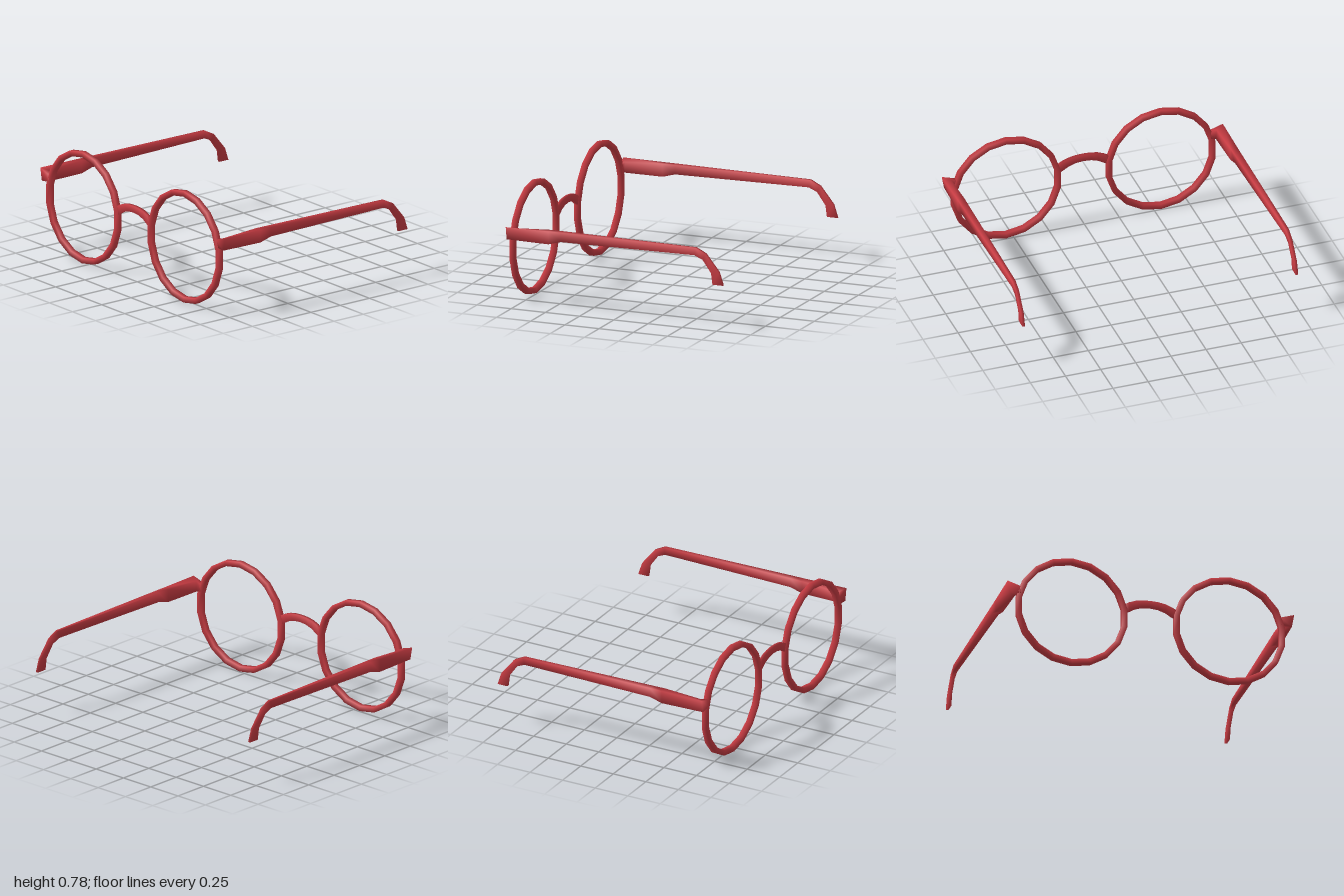
import * as THREE from 'three';

// Skins a row of four-cornered sections with smooth normals; open rows get end caps.
function loft(sections, closed = false) {
  const n = sections.length, index = [];
  for (let i = 0; i < (closed ? n : n - 1); i++) {
    for (let j = 0; j < 4; j++) {
      const k = (j + 1) % 4, next = (i + 1) % n;
      const a = i * 4 + j, b = i * 4 + k, c = next * 4 + k, d = next * 4 + j;
      index.push(a, b, c, a, c, d);
    }
  }
  if (!closed) {
    const e = (n - 1) * 4;
    index.push(0, 3, 2, 0, 2, 1, e, e + 1, e + 2, e, e + 2, e + 3);
  }
  const geo = new THREE.BufferGeometry();
  geo.setAttribute('position', new THREE.Float32BufferAttribute(sections.flat(2), 3));
  geo.setIndex(index);
  geo.computeVertexNormals();
  return geo;
}

const mirror = (sections) =>
  sections.map((s) => s.map(([x, y, z]) => [-x, y, z]).reverse());

export function createModel() {
  const group = new THREE.Group();
  group.name = 'eyeglasses';
  const red = new THREE.MeshStandardMaterial({ color: 0xc93c43 });
  red.name = 'red frame';
  const BACK = 0.755, FRONT = 0.79;

  const add = (name, geo) => {
    const mesh = new THREE.Mesh(geo, red);
    mesh.name = name;
    group.add(mesh);
  };

  // Round rims: 18 sides, square cross-section
  const rim = (cx) => {
    const rows = [];
    for (let i = 0; i < 18; i++) {
      const a = Math.PI / 2 + (i / 18) * Math.PI * 2;
      const at = (r, z) => [cx + r * Math.cos(a), 0.392 + r * Math.sin(a), z];
      rows.push([at(0.354, BACK), at(0.354, FRONT), at(0.392, FRONT), at(0.392, BACK)]);
    }
    return loft(rows, true);
  };
  add('leftRim', rim(0.55));
  add('rightRim', rim(-0.55));

  // Arched nose bridge: [x, bottom, top]
  const arch = [[0.18, 0.432, 0.495], [0.15, 0.447, 0.512], [0.105, 0.474, 0.529],
    [0.055, 0.49, 0.538], [0, 0.495, 0.541]];
  const fullArch = [...arch.map(([x, b, t]) => [-x, b, t]), ...arch.slice(0, -1).reverse()];
  add('bridge', loft(fullArch.map(([x, b, t]) =>
    [[x, b, 0.761], [x, t, 0.761], [x, t, 0.784], [x, b, 0.784]])));

  // Temple arm: hinge end, mitred corner, long arm, then the ear hook
  const arm = [
    [[0.905, 0.482, BACK], [0.905, 0.532, BACK], [0.905, 0.532, FRONT], [0.905, 0.482, FRONT]],
    [[0.938, 0.475, BACK], [0.944, 0.546, BACK], [1, 0.562, FRONT], [0.984, 0.474, FRONT]],
  ];
  // [inner x, outer x, bottom z, bottom y, top z, top y]
  const stations = [
    [0.945, 0.994, 0.48, 0.473, 0.48, 0.562],
    [0.947, 0.993, 0.39, 0.498, 0.39, 0.562],
    [0.96, 0.984, -0.58, 0.506, -0.59, 0.557],
    [0.961, 0.983, -0.64, 0.48, -0.662, 0.521],
    [0.962, 0.982, -0.702, 0.393, -0.758, 0.403],
    [0.963, 0.981, -0.712, 0.314, -0.788, 0.314],
  ];
  for (const [xi, xo, zb, yb, zt, yt] of stations) {
    arm.push([[xi, yb, zb], [xi, yt, zt], [xo, yt, zt], [xo, yb, zb]]);
  }
  add('leftTemple', loft(arm));
  add('rightTemple', loft(mirror(arm)));

  return group;
}
